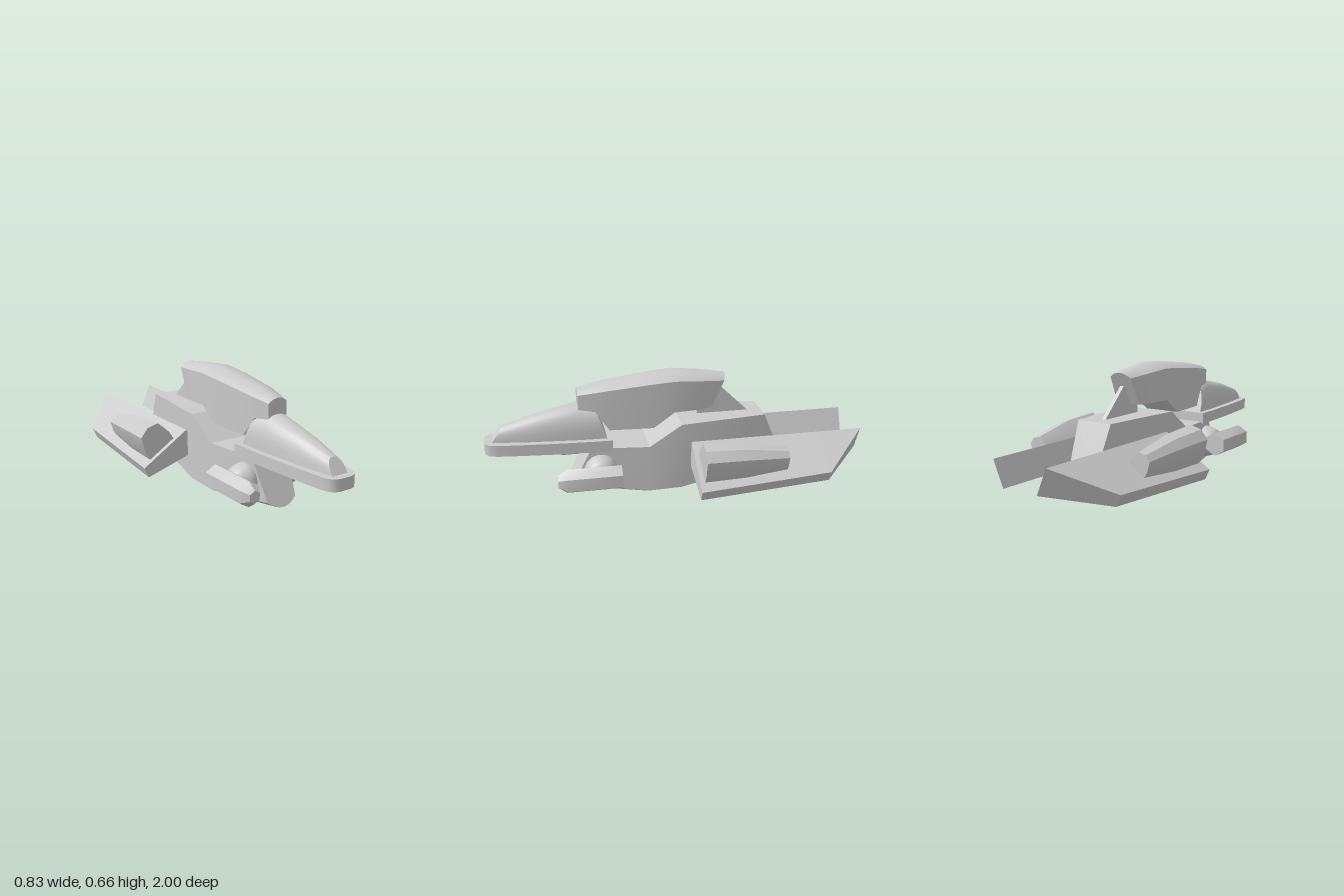
import * as THREE from 'three';
import { toCreasedNormals } from 'three/addons/utils/BufferGeometryUtils.js';

const material = new THREE.MeshStandardMaterial({ color: 0xcccccc });
const lerp = THREE.MathUtils.lerp;

function addMesh(parent, name, geometry) {
  const mesh = new THREE.Mesh(geometry, material);
  mesh.name = name;
  parent.add(mesh);
  return mesh;
}

// Closed skin through equal-length loops of [x, y, z], capped at both ends
function loft(loops, crease = 0.6) {
  const tris = [];
  const n = loops[0].length;
  for (let s = 0; s < loops.length - 1; s++) {
    for (let i = 0; i < n; i++) {
      const j = (i + 1) % n;
      const a = loops[s][i], b = loops[s][j], c = loops[s + 1][j], d = loops[s + 1][i];
      tris.push([a, b, c], [a, c, d]);
    }
  }
  const cap = (loop, flip) => {
    const mid = [0, 1, 2].map((k) => loop.reduce((sum, p) => sum + p[k], 0) / n);
    loop.forEach((p, i) => {
      const q = loop[(i + 1) % n];
      tris.push(flip ? [mid, q, p] : [mid, p, q]);
    });
  };
  cap(loops[0], true);
  cap(loops[loops.length - 1], false);

  // Turn every face outward, using the sign of the enclosed volume
  const V = (p) => new THREE.Vector3(...p);
  let volume = 0;
  for (const [a, b, c] of tris) volume += V(a).dot(V(b).cross(V(c)));
  const points = tris
    .map(([a, b, c]) => (volume < 0 ? [a, c, b] : [a, b, c]))
    .filter(([a, b, c]) => V(b).sub(V(a)).cross(V(c).sub(V(a))).length() > 1e-9);
  const geometry = new THREE.BufferGeometry();
  geometry.setAttribute('position', new THREE.Float32BufferAttribute(points.flat(2), 3));
  return toCreasedNormals(geometry, crease);
}

// Body section: top and bottom are [z, y, halfWidth, bulge], with curved faces and straight sides
function bodySection(top, bottom, steps = 8) {
  const loop = [];
  const edge = ([, y, w, bulge], dir, sign) => {
    for (let i = 0; i <= steps; i++) {
      const u = dir * (1 - (2 * i) / steps);
      const py = y - sign * bulge * u * u;
      const z = lerp(bottom[0], top[0], (py - bottom[1]) / (top[1] - bottom[1]));
      loop.push([u * w, py, z]);
    }
  };
  edge(top, 1, 1);
  edge(bottom, -1, -1);
  return loop;
}

// Arched section standing on a flat base
function archSection([zTop, zBottom, w, h], baseY) {
  return Array.from({ length: 17 }, (_, i) => {
    const a = (Math.PI * i) / 16;
    const c = Math.cos(a);
    const x = i === 8 ? 0 : w * Math.sign(c) * Math.abs(c) ** 0.8;
    const t = Math.abs(Math.sin(a)) ** 0.8;
    return [x, baseY + h * t, lerp(zBottom, zTop, t)];
  });
}

export function createModel() {
  const model = new THREE.Group();
  model.name = 'spacecraft';

  // Lower hull: stepped deck, straight sides, rounded keel
  addMesh(model, 'hull', loft([
    bodySection([0.46, 0.3, 0.105, 0], [0.58, 0.06, 0.088, 0.035]),
    bodySection([0.16, 0.3, 0.143, 0], [0.17, 0.003, 0.148, 0.045]),
    bodySection([-0.01, 0.415, 0.153, 0], [-0.01, 0.01, 0.153, 0.045]),
    bodySection([-0.47, 0.415, 0.1, 0], [-0.6, 0.11, 0.08, 0.035]),
  ], 0.4));

  // Upper canopy
  addMesh(model, 'canopy', loft([
    bodySection([0.515, 0.6, 0.055, 0.022], [0.515, 0.5, 0.055, 0]),
    bodySection([0.43, 0.617, 0.073, 0.025], [0.43, 0.49, 0.073, 0]),
    bodySection([0.36, 0.63, 0.085, 0.027], [0.36, 0.387, 0.085, 0]),
    bodySection([0.13, 0.658, 0.101, 0.03], [0.13, 0.387, 0.101, 0]),
    bodySection([0.01, 0.667, 0.104, 0.031], [0.02, 0.467, 0.104, 0]),
    bodySection([-0.12, 0.655, 0.092, 0.03], [-0.1, 0.467, 0.092, 0]),
    bodySection([-0.265, 0.635, 0.063, 0.026], [-0.185, 0.467, 0.07, 0]),
  ], 0.45));

  // Thin strut from the deck to the back of the canopy
  const strut = [[-0.12, 0.48], [-0.12, 0.41], [-0.4, 0.41], [-0.24, 0.565]];
  addMesh(model, 'canopyStrut', loft([-0.011, 0.011].map((x) => strut.map(([z, y]) => [x, y, z]))));

  // Nose: flat base plate with an arched cover
  const side = [[0.134, 0.35], [0.13, 0.46], [0.118, 0.65], [0.1, 0.83], [0.088, 0.93],
    [0.077, 0.97], [0.058, 0.992], [0.03, 1]];
  const outline = [...side, ...side.map(([x, z]) => [-x, z]).reverse()];
  addMesh(model, 'nosePlate', loft([0.29, 0.35].map((y) => outline.map(([x, z]) => [x, y, z]))));
  addMesh(model, 'noseCover', loft([
    [0.91, 0.96, 0.045, 0.07],
    [0.74, 0.78, 0.071, 0.122],
    [0.52, 0.52, 0.095, 0.17],
    [0.43, 0.375, 0.1, 0.157],
  ].map((s) => archSection(s, 0.35))));

  // Shared outlines for the paired parts
  const mountProfile = [[0, 0], [0.08, 0], [0.088, 0.02], [0.086, 0.04], [0.078, 0.065], [0.072, 0.08],
    [0.062, 0.095], [0.035, 0.108], [0, 0.112]].map(([r, h]) => new THREE.Vector2(r, h));
  const wingSections = [
    [-0.06, [0.155, 0.315], [0.415, 0.15], [0.39, 0.095], [0.1, 0.185]],
    [-0.76, [0.155, 0.315], [0.37, 0.175], [0.345, 0.118], [0.1, 0.185]],
    [-1, [0.155, 0.315], [0.155, 0.315], [0.1, 0.185], [0.1, 0.185]],
  ];
  const podProfile = [[-0.087, -0.02], [-0.087, 0.045], [-0.063, 0.133], [0, 0.153],
    [0.058, 0.133], [0.085, 0.045], [0.085, -0.02]];

  for (const [sign, label] of [[1, 'left'], [-1, 'right']]) {
    const group = new THREE.Group();
    group.name = `${label}Side`;
    model.add(group);

    // Rounded mount on the hull
    const mount = addMesh(group, 'gunMount', toCreasedNormals(new THREE.LatheGeometry(mountProfile, 32), 0.7));
    mount.rotation.z = (-sign * Math.PI) / 2;
    mount.position.set(sign * 0.095, 0.178, 0.415);

    // Six-sided gun with a tapered tip
    const hexagon = ([z, r]) => Array.from({ length: 6 }, (_, i) => {
      const a = (i * Math.PI) / 3;
      return [sign * 0.228 + r * Math.sin(a), 0.187 + r * Math.cos(a), z];
    });
    addMesh(group, 'gun', loft([[0.32, 0.065], [0.6, 0.065], [0.645, 0.033]].map(hexagon)));

    // Swept wing drooping outward
    addMesh(group, 'wing', loft(wingSections.map(([z, ...pts]) => pts.map(([x, y]) => [sign * x, y, z])), 0.1));

    // Tapered pod on the wing, square to its sloping top
    addMesh(group, 'wingPod', loft([[-0.085, 1], [-0.3, 0.92], [-0.53, 0.6]].map(([z, s]) =>
      podProfile.map(([t, n]) => [
        sign * (0.295 + s * (0.845 * t + 0.535 * n)),
        0.228 + s * (-0.535 * t + 0.845 * n),
        z,
      ])), 0.35));
  }
  return model;
}
